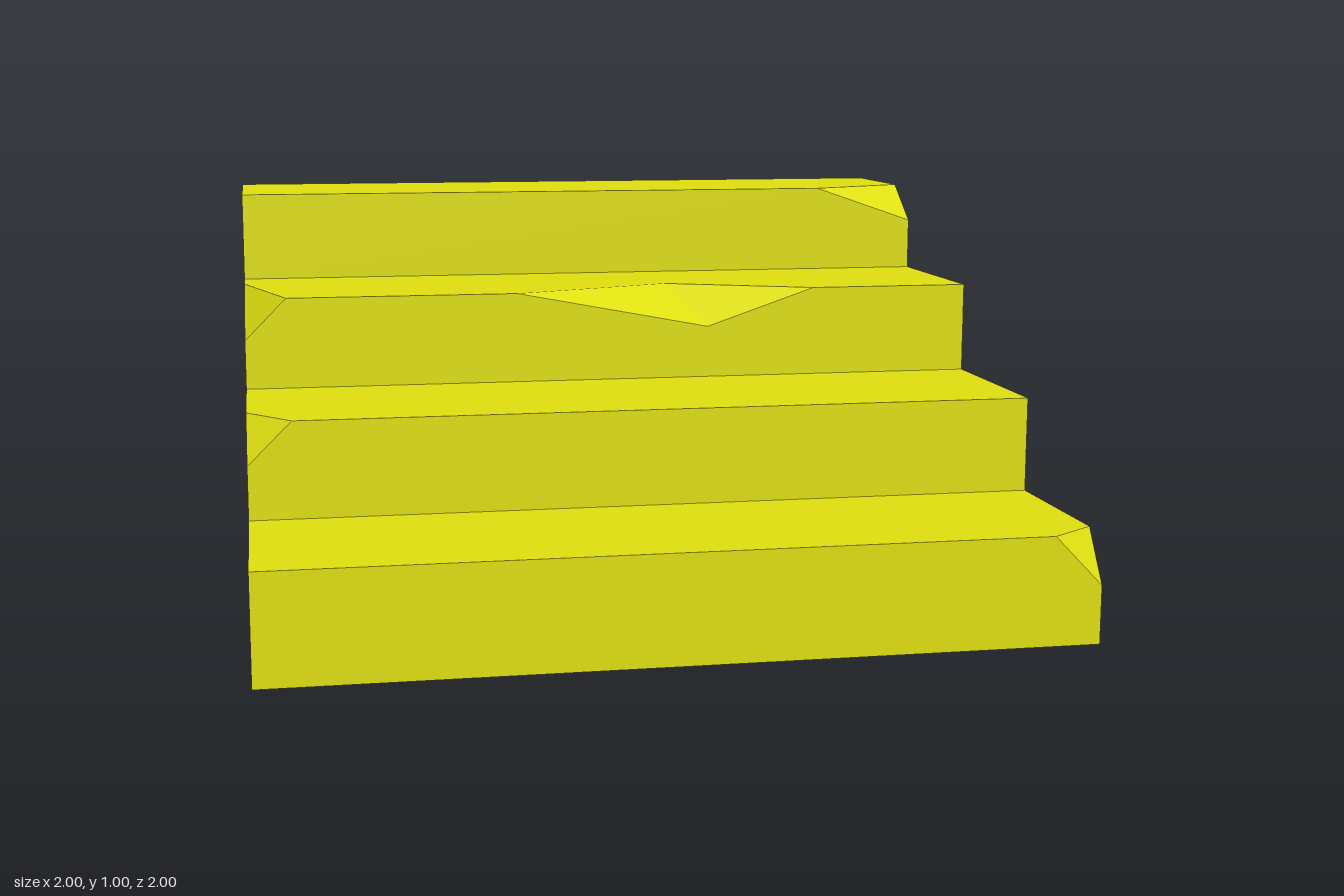
import * as THREE from 'three';

const STEP_DEPTH = 0.5;
// Each step: top height, optional corner chips (x on the edge, y on the riser, z on the tread), optional notch
const STEPS = [
  { top: 0.27, right: { x: 0.88, y: 0.145, z: 0.915 } },
  { top: 0.515, left: { x: -0.89, y: 0.405, z: 0.365 } },
  {
    top: 0.757, left: { x: -0.89, y: 0.645, z: -0.37 },
    notch: { x0: -0.27, x1: 0.56, lowX: 0.26, lowY: 0.655, backX: 0.17, backZ: -0.175 },
  },
  { top: 1, right: { x: 0.71, y: 0.9, z: -0.64 } },
];

export function createModel() {
  const group = new THREE.Group();
  group.name = 'chippedStairs';
  const stone = new THREE.MeshStandardMaterial({ color: 0xdede10 });
  stone.name = 'yellow stone';

  const add = (name, geometry) => {
    const mesh = new THREE.Mesh(geometry, stone);
    mesh.name = name;
    group.add(mesh);
  };
  const flat = (points) =>
    new THREE.ShapeGeometry(new THREE.Shape(points.map(([x, y]) => new THREE.Vector2(x, y))));
  const triangles = (...points) => {
    const g = new THREE.BufferGeometry();
    g.setAttribute('position', new THREE.Float32BufferAttribute(points.flat(), 3));
    g.computeVertexNormals();
    return g;
  };

  STEPS.forEach(({ top, left, right, notch }, i) => {
    const bottom = i ? STEPS[i - 1].top : 0;
    const front = 1 - i * STEP_DEPTH;
    const back = front - STEP_DEPTH;
    const n = notch;

    // Riser, with its top edge cut by the chips
    add(`riser${i + 1}`, flat([
      [-1, bottom], [1, bottom],
      ...(right ? [[1, right.y], [right.x, top]] : [[1, top]]),
      ...(n ? [[n.x1, top], [n.lowX, n.lowY], [n.x0, top]] : []),
      ...(left ? [[left.x, top], [-1, left.y]] : [[-1, top]]),
    ]).translate(0, 0, front));

    // Tread, with its front edge cut by the same chips
    add(`tread${i + 1}`, flat([
      ...(left ? [[-1, -left.z], [left.x, -front]] : [[-1, -front]]),
      ...(n ? [[n.x0, -front], [n.backX, -n.backZ], [n.x1, -front]] : []),
      ...(right ? [[right.x, -front], [1, -right.z]] : [[1, -front]]),
      [1, -back], [-1, -back],
    ]).rotateX(-Math.PI / 2).translate(0, top, 0));

    // Broken faces
    if (right) {
      add(`rightChip${i + 1}`, triangles(
        [right.x, top, front], [1, right.y, front], [1, top, right.z]));
    }
    if (left) {
      add(`leftChip${i + 1}`, triangles(
        [left.x, top, front], [-1, top, left.z], [-1, left.y, front]));
    }
    if (n) {
      const low = [n.lowX, n.lowY, front];
      const deep = [n.backX, top, n.backZ];
      add('edgeNotch', triangles(
        [n.x0, top, front], low, deep,
        low, [n.x1, top, front], deep));
    }
  });

  // Stepped side walls
  for (const [key, sign] of [['left', -1], ['right', 1]]) {
    const profile = [[-1, 0], [1, 0]];
    STEPS.forEach((step, i) => {
      const front = 1 - i * STEP_DEPTH;
      const chip = step[key];
      profile.push([front, i ? STEPS[i - 1].top : 0]);
      if (chip) profile.push([front, chip.y], [chip.z, step.top]);
      else profile.push([front, step.top]);
    });
    profile.push([-1, 1]);
    profile.splice(1, 1); // first riser already starts at the front foot
    add(sign > 0 ? 'wallPlusX' : 'wallMinusX',
      flat(profile.map(([z, y]) => [-sign * z, y]))
        .rotateY(sign * Math.PI / 2).translate(sign, 0, 0));
  }

  // Back and underside
  add('backWall', new THREE.PlaneGeometry(2, 1).rotateY(Math.PI).translate(0, 0.5, -1));
  add('underside', new THREE.PlaneGeometry(2, 2).rotateX(Math.PI / 2));
  return group;
}
